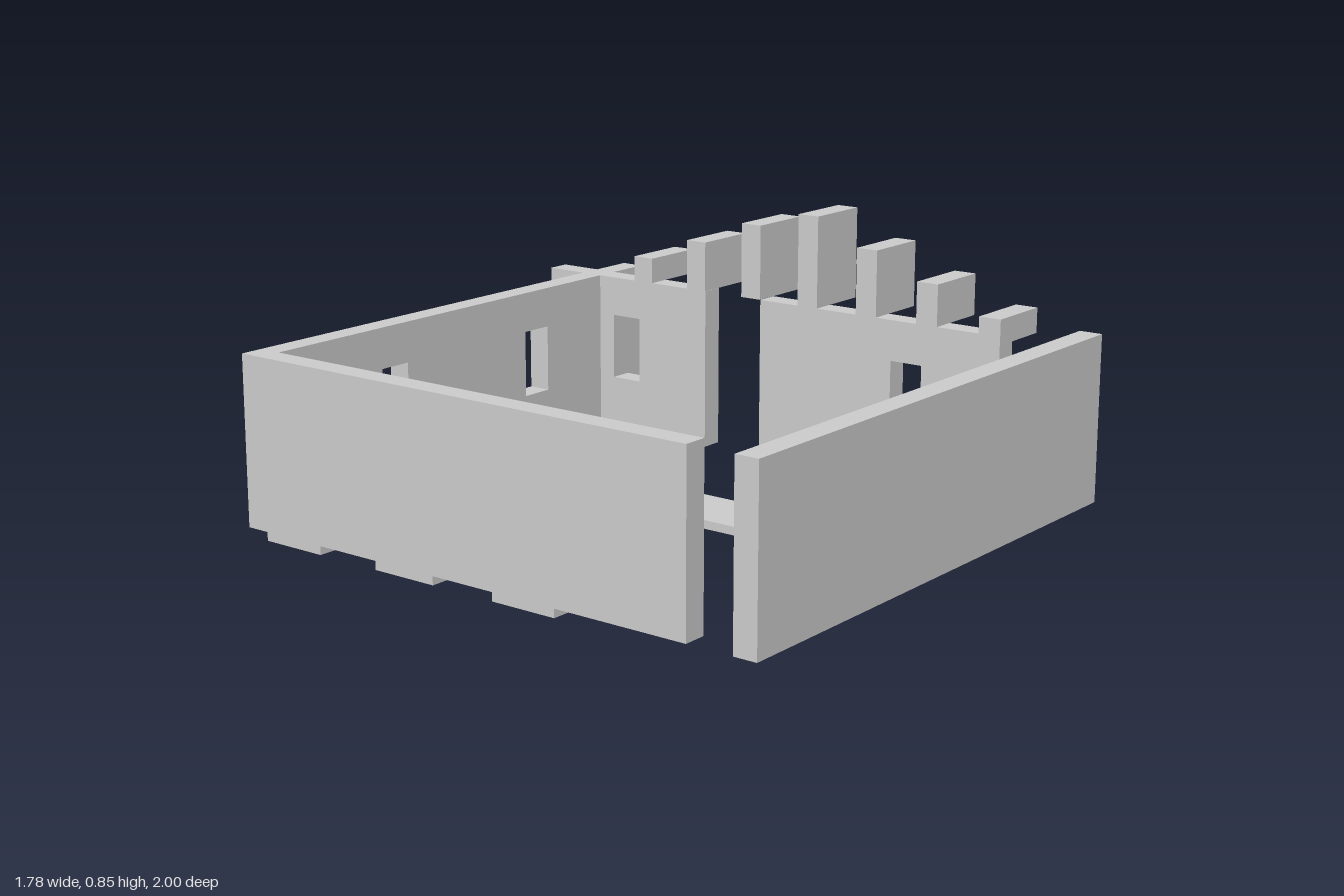
import * as THREE from 'three';

const T = 0.075;      // wall thickness
const FLOOR = 0.027;  // underside of the walls
const TOP = 0.557;    // top of the walls

export function createModel() {
  const group = new THREE.Group();
  const mat = new THREE.MeshStandardMaterial({ color: 0xcccccc, flatShading: true });

  const add = (name, geo) => {
    const mesh = new THREE.Mesh(geo, mat);
    mesh.name = name;
    group.add(mesh);
    return mesh;
  };

  // Box given by its minimum and maximum corners
  const box = (name, x0, x1, y0, y1, z0, z1) =>
    add(name, new THREE.BoxGeometry(x1 - x0, y1 - y0, z1 - z0))
      .position.set((x0 + x1) / 2, (y0 + y1) / 2, (z0 + z1) / 2);

  // Wall panel from a to b, with a window hole centred at each given position
  const panel = (a, b, windows = []) => {
    const rect = (path, l, r, lo, hi) =>
      path.moveTo(l, lo).lineTo(r, lo).lineTo(r, hi).lineTo(l, hi).closePath();
    const shape = new THREE.Shape();
    rect(shape, a, b, FLOOR, TOP);
    for (const c of windows) {
      const hole = new THREE.Path();
      rect(hole, c - 0.056, c + 0.056, 0.21, 0.427);
      shape.holes.push(hole);
    }
    return new THREE.ExtrudeGeometry(shape, { depth: T, bevelEnabled: false });
  };
  const wallAlongX = (name, z0, windows) =>
    add(name, panel(-0.889, 0.889, windows).translate(0, 0, z0));
  const wallAlongZ = (name, x0, z0, z1, windows) =>
    add(name, panel(z0, z1, windows).rotateY(-Math.PI / 2).translate(x0 + T, 0, 0));

  // Outer walls
  wallAlongX('frontWall', 0.925);
  wallAlongX('backWall', -0.856, [-0.333, 0.333]);
  wallAlongZ('rightWall', -0.889, -0.856, 0.776);

  // Entrance wall, split by the doorway; its back end crosses the back wall
  wallAlongZ('entranceWallBack', 0.666, -1, -0.333, [-0.666]);
  wallAlongZ('entranceWallFront', 0.666, -0.111, 0.776, [0.446]);

  // Stepped row of fins on the entrance wall, highest in the middle
  const tops = [0.61, 0.69, 0.77, 0.853, 0.8, 0.72, 0.64];
  tops.forEach((top, i) => {
    const z = 0.739 - i * 0.2222;
    box('fin' + (i + 1), 0.666, 0.889, i === 0 ? 0.53 : TOP, top, z - T / 2, z + T / 2);
  });

  // Thin floor slabs
  box('centreSlab', 0, 0.22, 0, FLOOR, -0.556, 0.333);
  box('sideSlabFront', -0.889, -0.446, 0, FLOOR, 0.111, 0.333);
  box('sideSlabMiddle', -0.889, -0.446, 0, FLOOR, -0.333, -0.111);
  box('cornerSlab', -0.889, -0.668, 0, FLOOR, -0.778, -0.556);

  return group;
}
